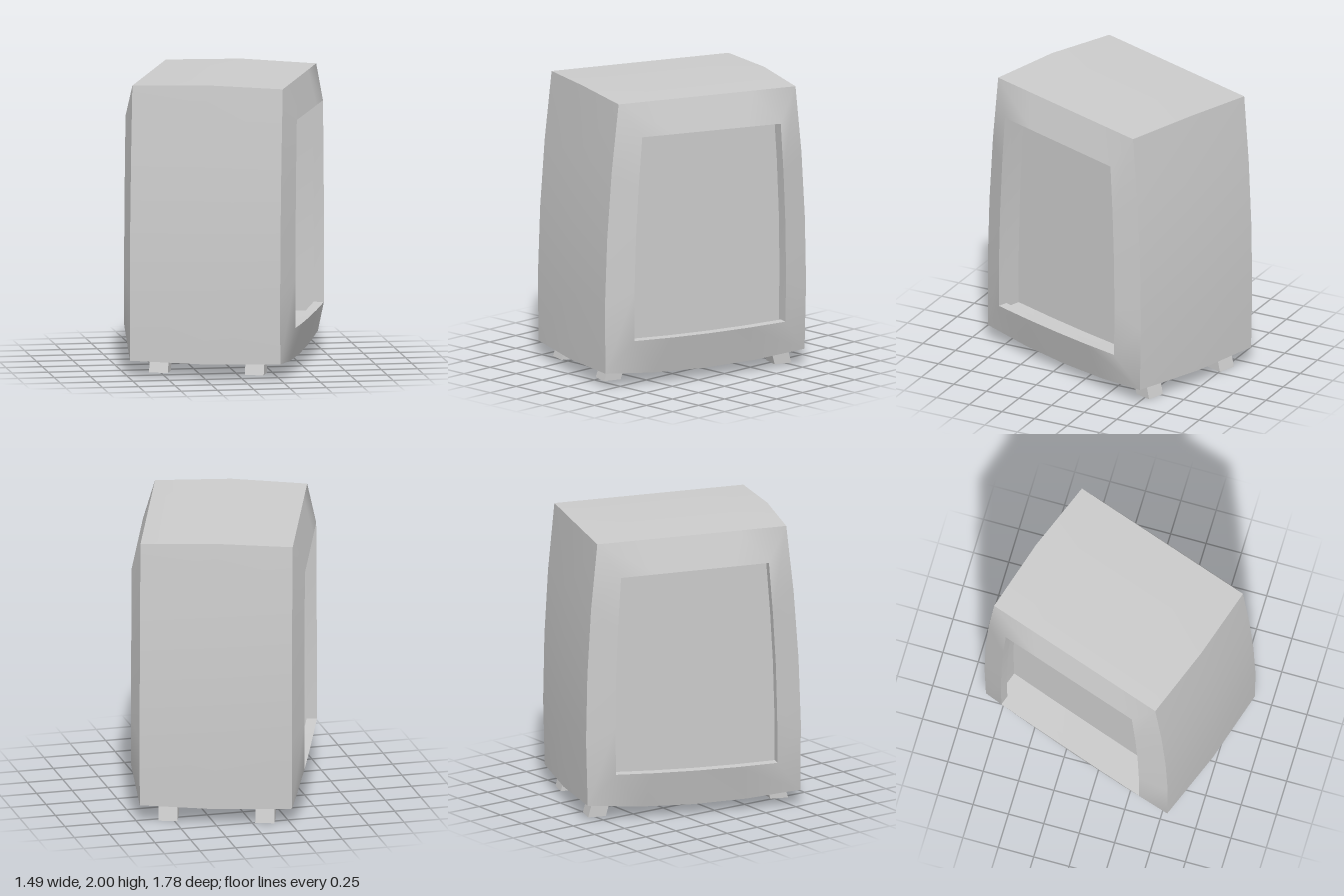
import * as THREE from 'three';
import { toCreasedNormals } from 'three/addons/utils/BufferGeometryUtils.js';

const grey = new THREE.MeshStandardMaterial({ color: 0xcccccc });

// Half depth of the cabinet from bottom to top
const HALF = [0.752, 0.76, 0.747, 0.717, 0.668];
const BOTTOM = 0.115, TOP = 1.975;

function halfAt(y) {
  const f = THREE.MathUtils.clamp((y - BOTTOM) / (TOP - BOTTOM), 0, 1) * 4;
  const i = Math.min(3, Math.floor(f));
  return THREE.MathUtils.lerp(HALF[i], HALF[i + 1], f - i);
}

// One cross-section across the cabinet at x
function section({ x, scale = 1, grow = 0, y0 = BOTTOM, y1 = TOP, sag = 0.045, bulge = 0 }) {
  const pts = [];
  const bottomY = (s) => y0 - sag * (1 - s * s) - 0.005 * s;
  const topY = (s) => y1 + 0.01 * s;
  const put = (s, t) => {
    const y = THREE.MathUtils.lerp(bottomY(s), topY(s), t);
    const f = (y - BOTTOM) / (TOP - BOTTOM);
    const z = s * (halfAt(y) * scale + grow + bulge) + 0.005 - 0.015 * f;
    pts.push(new THREE.Vector3(x, y, z));
  };
  for (let i = 0; i < 4; i++) put(-1 + i / 2, 0);  // bottom, back to front
  for (let i = 0; i < 4; i++) put(1, i / 4);       // up the front
  for (let i = 0; i < 4; i++) put(1 - i / 2, 1);   // top, front to back
  for (let i = 0; i < 4; i++) put(-1, 1 - i / 4);  // down the back
  return pts;
}

function loft(loops) {
  const n = loops[0].length, pos = [], index = [];
  loops.forEach((loop) => loop.forEach((p) => pos.push(p.x, p.y, p.z)));
  for (let i = 0; i < loops.length - 1; i++) {
    for (let j = 0; j < n; j++) {
      const k = (j + 1) % n;
      const a = i * n + j, b = i * n + k, c = a + n, d = b + n;
      index.push(a, c, d, a, d, b);
    }
  }
  const g = new THREE.BufferGeometry();
  g.setAttribute('position', new THREE.Float32BufferAttribute(pos, 3));
  g.setIndex(index);
  return toCreasedNormals(g, 0.6);
}

// Cabinet with a raised frame and an undercut recess on both sides
function cabinet() {
  const opening = { scale: 0.756, y0: 0.34, y1: 1.745, sag: 0.012 };
  const cavity = { ...opening, grow: 0.075, y0: 0.265, y1: 1.82 };
  const side = [
    { x: 0.518 },                // cabinet edge
    { x: 0.59, ...opening },     // rim of the frame
    { x: 0.52, ...opening },     // inside of the rim
    { x: 0.52, ...cavity },      // behind the rim
    { x: 0.335, ...cavity },     // recessed panel
  ];
  const half = (sign) => {
    const loops = side.map((s) => section({ ...s, x: s.x * sign }));
    const centre = new THREE.Vector3(0.335 * sign, 1.04, 0);
    loops.push(loops[0].map(() => centre.clone()));
    return loops;
  };
  const middle = section({ x: 0, y0: BOTTOM - 0.01, y1: TOP + 0.017, bulge: 0.018 });
  const mesh = new THREE.Mesh(loft([...half(-1).reverse(), middle, ...half(1)]), grey);
  mesh.name = 'cabinet';
  return mesh;
}

// Short square foot leaning outwards
function foot(sx, sz) {
  const low = sz > 0 ? 0.025 : 0, high = 0.13;
  const g = new THREE.BoxGeometry(0.13, high - low, 0.125);
  const p = g.attributes.position;
  for (let i = 0; i < p.count; i++) {
    if (p.getY(i) > 0) {
      p.setZ(i, p.getZ(i) - sz * 0.035);
    }
  }
  g.computeVertexNormals();
  const mesh = new THREE.Mesh(g, grey);
  mesh.position.set(sx * 0.33, (low + high) / 2, sz * 0.645);
  mesh.name = (sz > 0 ? 'front' : 'back') + (sx > 0 ? 'Left' : 'Right') + 'Foot';
  return mesh;
}

export function createModel() {
  const group = new THREE.Group();
  group.name = 'dispenser';
  group.add(cabinet());
  for (const sx of [-1, 1]) for (const sz of [-1, 1]) group.add(foot(sx, sz));
  group.rotation.y = -0.333;
  return group;
}
